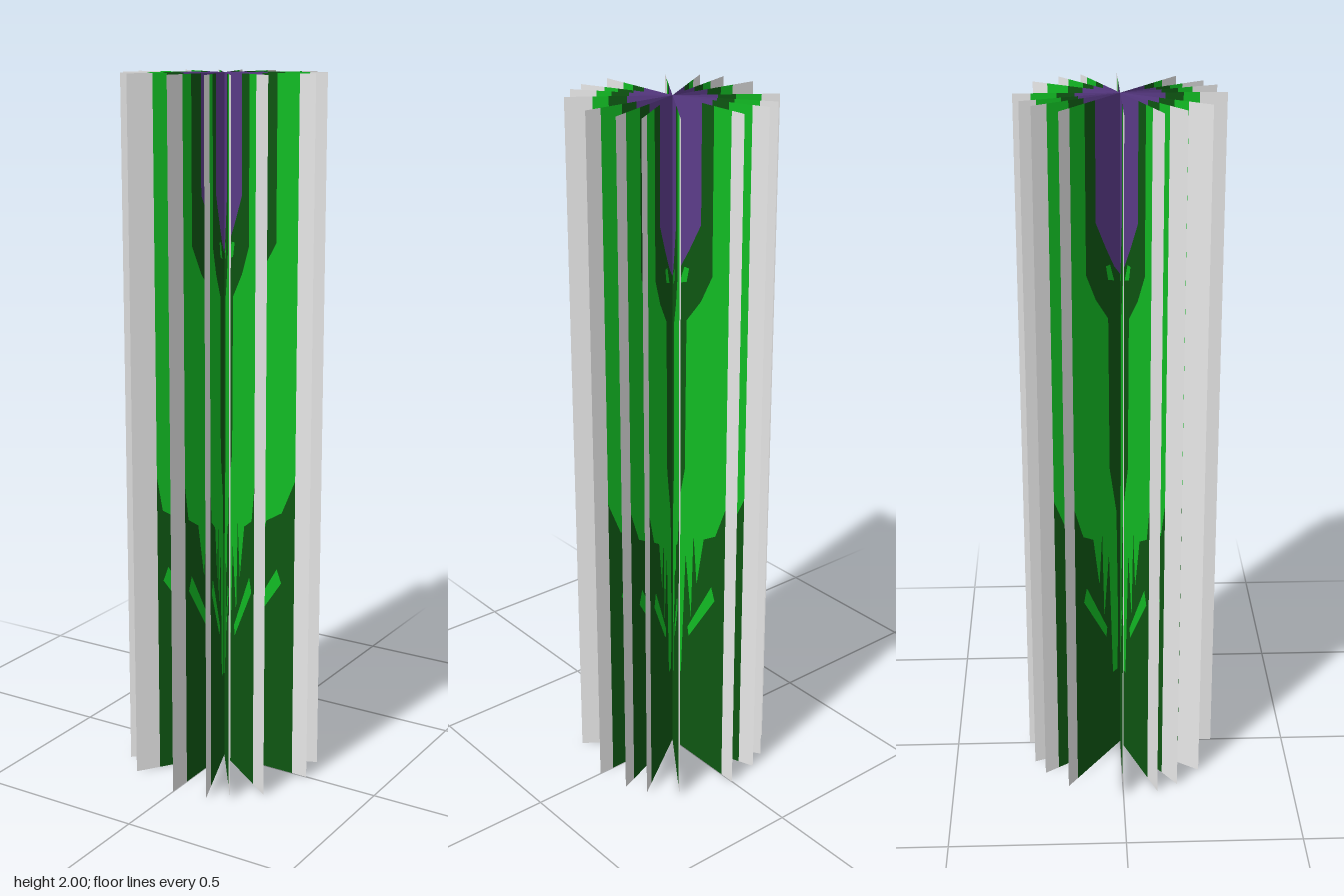
import * as THREE from 'three';

const R = 0.28; // half width of a vane
const H = 2;    // height

const mat = (name, color) => {
  const m = new THREE.MeshStandardMaterial({ color, side: THREE.DoubleSide });
  m.name = name;
  return m;
};

// Flat polygon (with optional holes), mirrored for the other half of a vane
function patch(points, side, holes = []) {
  const path = pts => pts.map(([u, y]) => new THREE.Vector2(u * side, y));
  const shape = new THREE.Shape(path(points));
  for (const h of holes) shape.holes.push(new THREE.Path(path(h)));
  return new THREE.ShapeGeometry(shape);
}

// Colour areas of half a vane; w is the outer edge of the plant
function halfVane(side, w) {
  const flowerEdge = [[0, 1.51], [0.03, 1.54], [0.07, 1.6], [0.118, 1.68], [0.118, H]];
  const hoodEdge = [[0.165, H], [0.165, 1.55], [0.12, 1.47], [0.06, 1.4]];
  const stemEdge = [[0.055, 0.95], [0.02, 0.8]];
  // ragged lower border of the light leaves, from outside to the stem
  const leafEdge = [
    [w, 0.89], [0.19, 0.79], [0.14, 0.76], [0.11, 0.6], [0.095, 0.76], [0.085, 0.48],
    [0.06, 0.68], [0.04, 0.27], [0.015, 0.27], [0.012, 0.45],
  ];
  const streak = [[0.19, 0.58], [0.175, 0.62], [0.07, 0.44], [0.075, 0.41]];
  const tip = [[0.03, 1.5], [0.06, 1.51], [0.07, 1.55], [0.05, 1.55]];

  return [
    ['border', 'white', patch([[w, 0], [R, 0], [R, H], [w, H]], side)],
    ['flower', 'purple', patch([...flowerEdge, [0, H]], side)],
    ['hoodAndStem', 'darkGreen',
      patch([...flowerEdge, ...hoodEdge, ...stemEdge, [0, 0.8]], side, [tip])],
    ['leaves', 'lightGreen',
      patch([...hoodEdge, ...stemEdge, ...[...leafEdge].reverse(), [w, H]], side)],
    ['lowerFoliage', 'darkGreen',
      patch([[0, 0], [w, 0], ...leafEdge, [0.02, 0.8], [0, 0.8]], side, [streak])],
    ['leafStreak', 'lightGreen', patch(streak, side)],
    ['flowerBase', 'lightGreen', patch(tip, side)],
  ];
}

export function createModel() {
  const materials = {
    white: mat('white', 0xffffff),
    purple: mat('purple', 0x5c3c8a),
    darkGreen: mat('darkGreen', 0x0e5612),
    lightGreen: mat('lightGreen', 0x12bc24),
  };
  const parts = [...halfVane(1, 0.207), ...halfVane(-1, 0.232)];
  const model = new THREE.Group();
  model.name = 'plant';

  // Upright vanes crossing at the centre, in two sets a quarter turn apart
  for (const turn of [0, -90]) {
    for (const angle of [0, 21, 35, 55]) {
      const vane = new THREE.Group();
      vane.name = 'vane';
      for (const [name, colour, geometry] of parts) {
        const mesh = new THREE.Mesh(geometry, materials[colour]);
        mesh.name = name;
        vane.add(mesh);
      }
      vane.rotation.y = THREE.MathUtils.degToRad(angle + turn - 90);
      model.add(vane);
    }
  }
  return model;
}
